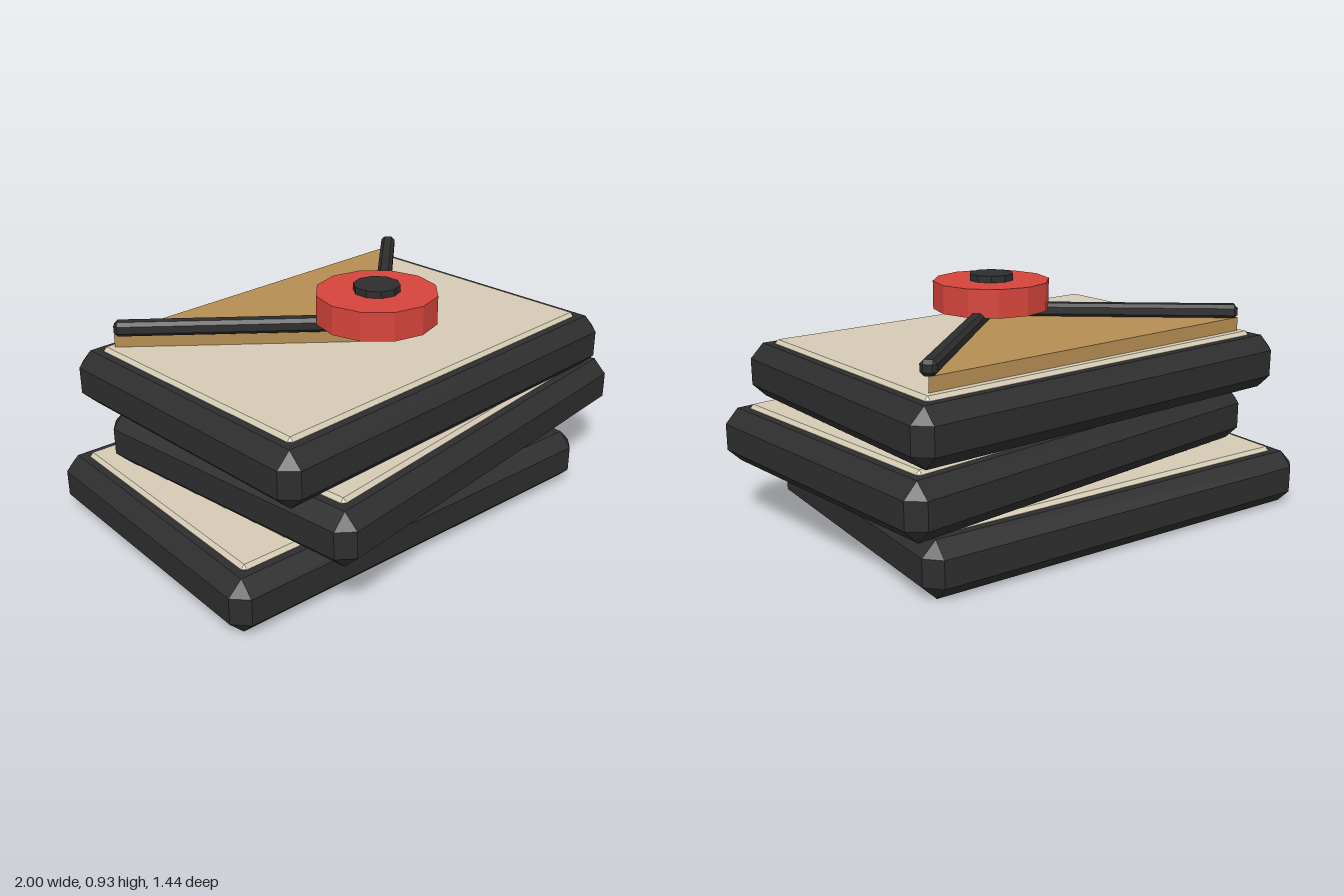
import * as THREE from 'three';
import { ConvexGeometry } from 'three/addons/geometries/ConvexGeometry.js';

// Box with every edge cut at 45 degrees by c
function chamferBox(w, h, d, c) {
  const pts = [];
  for (const sx of [-1, 1]) for (const sy of [-1, 1]) for (const sz of [-1, 1]) {
    const x = w / 2, y = h / 2, z = d / 2;
    pts.push(
      new THREE.Vector3(sx * x, sy * (y - c), sz * (z - c)),
      new THREE.Vector3(sx * (x - c), sy * y, sz * (z - c)),
      new THREE.Vector3(sx * (x - c), sy * (y - c), sz * z)
    );
  }
  return new ConvexGeometry(pts);
}

// Faceted cylinder
function facetedDisc(radius, height, sides) {
  const g = new THREE.CylinderGeometry(radius, radius, height, sides).toNonIndexed();
  g.computeVertexNormals();
  return g;
}

export function createModel() {
  const black = new THREE.MeshStandardMaterial({ color: 0x2d2d2e });
  const cream = new THREE.MeshStandardMaterial({ color: 0xd4cab3 });
  const tan = new THREE.MeshStandardMaterial({ color: 0xb58d53 });
  const red = new THREE.MeshStandardMaterial({ color: 0xd4443a });
  black.name = 'black';
  cream.name = 'cream';
  tan.name = 'tan';
  red.name = 'red';

  const model = new THREE.Group();
  model.name = 'envelopeStack';
  const add = (parent, name, geometry, material, x, y, z) => {
    const mesh = new THREE.Mesh(geometry, material);
    mesh.name = name;
    mesh.position.set(x, y, z);
    parent.add(mesh);
    return mesh;
  };

  // Three stacked envelopes: thick dark frame with a pale sheet let into the top
  const frame = chamferBox(1.74, 0.214, 1.23, 0.055);
  const sheet = chamferBox(1.57, 0.06, 1.06, 0.014);
  const layers = [
    ['bottomEnvelope', -0.09, 0, -0.042, -0.078],
    ['middleEnvelope', 0.09, 0.238, 0.048, 0.078],
    ['topEnvelope', 0, 0.474, 0, 0]
  ];
  for (const [name, x, y, z, turn] of layers) {
    const envelope = new THREE.Group();
    envelope.name = name;
    envelope.position.set(x, y, z);
    envelope.rotation.y = turn;
    add(envelope, 'frame', frame, black, 0, 0.107, 0);
    add(envelope, 'sheet', sheet, cream, 0, 0.199, 0);
    model.add(envelope);
  }

  // Triangular flap
  const flap = new THREE.Shape([
    new THREE.Vector2(-0.75, 0.49),
    new THREE.Vector2(0, -0.175),
    new THREE.Vector2(0.75, 0.49)
  ]);
  const flapGeometry = new THREE.ExtrudeGeometry(flap, { depth: 0.057, bevelEnabled: false });
  flapGeometry.rotateX(-Math.PI / 2);
  add(model, 'flap', flapGeometry, tan, 0, 0.7, 0);

  // Dark bars along the two slanted flap edges
  const run = 0.75, rise = 0.66;
  const bar = chamferBox(Math.hypot(run, rise), 0.056, 0.06, 0.014);
  for (const side of [-1, 1]) {
    const mesh = add(model, side > 0 ? 'leftFlapBar' : 'rightFlapBar', bar, black,
      side * run / 2, 0.782, -0.155);
    mesh.rotation.y = side * Math.atan2(rise, run);
  }

  // Seal and its centre button
  add(model, 'seal', facetedDisc(0.235, 0.113, 12), red, 0, 0.848, 0.158);
  add(model, 'sealButton', facetedDisc(0.09, 0.05, 10), black, 0, 0.906, 0.158);

  return model;
}
